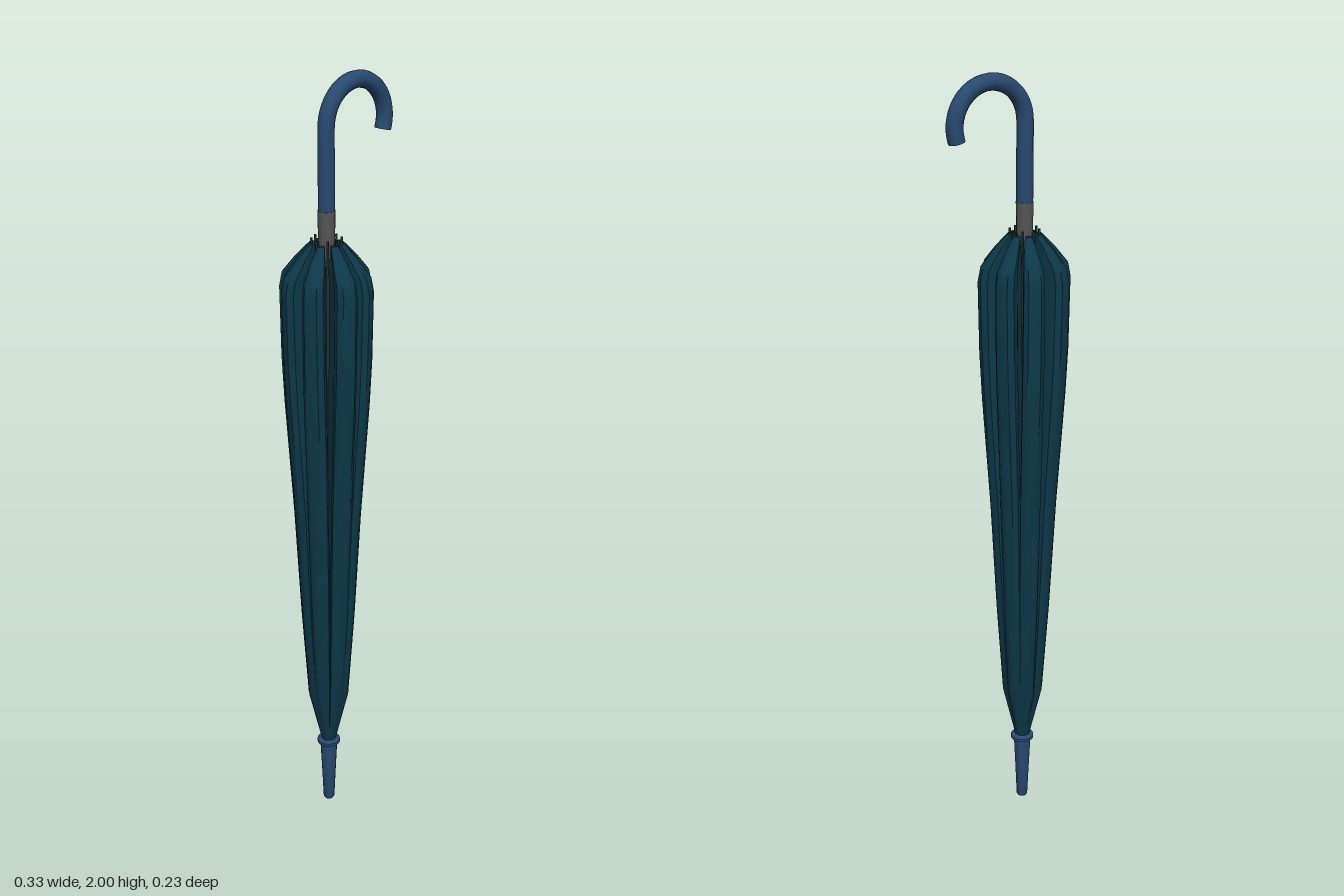
import * as THREE from 'three';
import { mergeVertices, toCreasedNormals } from 'three/addons/utils/BufferGeometryUtils.js';

const AXIS_X = -0.052, AXIS_Z = -0.004, FOLDS = 8;

function material(name, color, side = THREE.FrontSide) {
  const m = new THREE.MeshStandardMaterial({ color, side });
  m.name = name;
  return m;
}

// Fold levels: height, outer radius, inner radius, half width
const LEVELS = [
  [0.195, 0.018, 0.004, 0.007],
  [0.26, 0.033, 0.007, 0.012],
  [0.35, 0.054, 0.011, 0.019],
  [0.60, 0.071, 0.015, 0.023],
  [0.90, 0.087, 0.019, 0.026],
  [1.20, 0.108, 0.023, 0.027],
  [1.32, 0.114, 0.025, 0.027],
  [1.50, 0.117, 0.026, 0.026],
  [1.535, 0.110, 0.026, 0.025],
  [1.575, 0.078, 0.026, 0.018],
  [1.612, 0.042, 0.027, 0.009],
];
// Teardrop section: fraction from inner to outer radius, fraction of half width
const SECTION = [
  [0, -0.3], [0.3, -0.45], [0.62, -0.95], [0.82, -1], [0.97, -0.55], [1, 0.1],
  [0.95, 0.65], [0.8, 1], [0.6, 0.9], [0.3, 0.42], [0, 0.3],
];

// One hanging fold of cloth, lofted through the levels
function foldGeometry(angle, sway) {
  const pos = [], index = [], n = SECTION.length;
  const c = Math.cos(angle), s = Math.sin(angle);
  for (const [y, outer, inner, half] of LEVELS) {
    for (const [f, w] of SECTION) {
      const r = inner + (outer - inner) * f;
      const t = half * w + sway * f * outer;
      pos.push(r * c - t * s, y, r * s + t * c);
    }
  }
  for (let j = 0; j < LEVELS.length - 1; j++) {
    for (let i = 0; i < n; i++) {
      const a = j * n + i, b = j * n + (i + 1) % n;
      index.push(a, a + n, b, b, a + n, b + n);
    }
  }
  // Close the top of the fold
  const top = (LEVELS.length - 1) * n;
  for (let i = 1; i < n - 1; i++) index.push(top, top + i + 1, top + i);
  const g = new THREE.BufferGeometry();
  g.setAttribute('position', new THREE.Float32BufferAttribute(pos, 3));
  g.setIndex(index);
  return toCreasedNormals(mergeVertices(g), 0.6);
}

export function createModel() {
  const blue = material('handle blue', 0x28496f);
  const cloth = material('canopy teal', 0x0d3849, THREE.DoubleSide);
  const grey = material('collar grey', 0x555555);
  const dark = material('rib dark grey', 0x2b2d30);

  const model = new THREE.Group();
  model.name = 'umbrella';
  const body = new THREE.Group();
  body.name = 'body';
  body.position.set(AXIS_X, 0, AXIS_Z);
  model.add(body);

  const add = (name, geometry, mat, x = 0, y = 0, z = 0) => {
    const mesh = new THREE.Mesh(geometry, mat);
    mesh.name = name;
    mesh.position.set(x, y, z);
    body.add(mesh);
    return mesh;
  };
  const rod = (name, r1, r0, y0, y1, mat, x = 0, z = 0, sides = 14) =>
    add(name, new THREE.CylinderGeometry(r1, r0, y1 - y0, sides), mat, x, (y0 + y1) / 2, z);

  // Crook handle: straight grip, then an arc that hooks over to the left
  const R = 0.097, bendY = 1.882, points = [];
  for (const y of [1.68, 1.75, 1.82]) points.push(new THREE.Vector3(0, y, 0));
  for (let i = 0; i <= 16; i++) {
    const a = Math.PI - (i / 16) * (Math.PI + 0.34);
    points.push(new THREE.Vector3(R + R * Math.cos(a), bendY + R * Math.sin(a), 0));
  }
  const path = new THREE.CatmullRomCurve3(points);
  add('handle', new THREE.TubeGeometry(path, 48, 0.0205, 12), blue);
  // Flat end of the hook
  const end = add('handleEnd', new THREE.CircleGeometry(0.0205, 12), blue);
  end.position.copy(path.getPoint(1));
  end.quaternion.setFromUnitVectors(new THREE.Vector3(0, 0, 1), path.getTangent(1));

  // Shaft, collar and runner
  rod('shaft', 0.007, 0.007, 0.15, 1.65, dark);
  rod('collar', 0.0215, 0.02, 1.615, 1.69, grey);
  rod('runner', 0.019, 0.013, 1.53, 1.615, grey);

  // Tapered tip with a flange
  const tip = [[0, 0], [0.012, 0], [0.015, 0.005], [0.019, 0.1], [0.023, 0.185],
    [0.031, 0.19], [0.031, 0.198], [0.02, 0.204], [0, 0.204]];
  add('tip', toCreasedNormals(new THREE.LatheGeometry(
    tip.map(([x, y]) => new THREE.Vector2(x, y)), 16), 0.6), blue);

  // Folded canopy, with a rib end in every valley
  for (let i = 0; i < FOLDS; i++) {
    const a = 0.314 + (i / FOLDS) * Math.PI * 2;
    add('canopyFold', foldGeometry(a, 0.04 * Math.sin(i * 2.3)), cloth);
    const v = a + Math.PI / FOLDS;
    rod('ribEnd', 0.003, 0.003, 1.54, 1.625, dark, 0.036 * Math.cos(v), 0.036 * Math.sin(v), 6);
  }
  return model;
}
